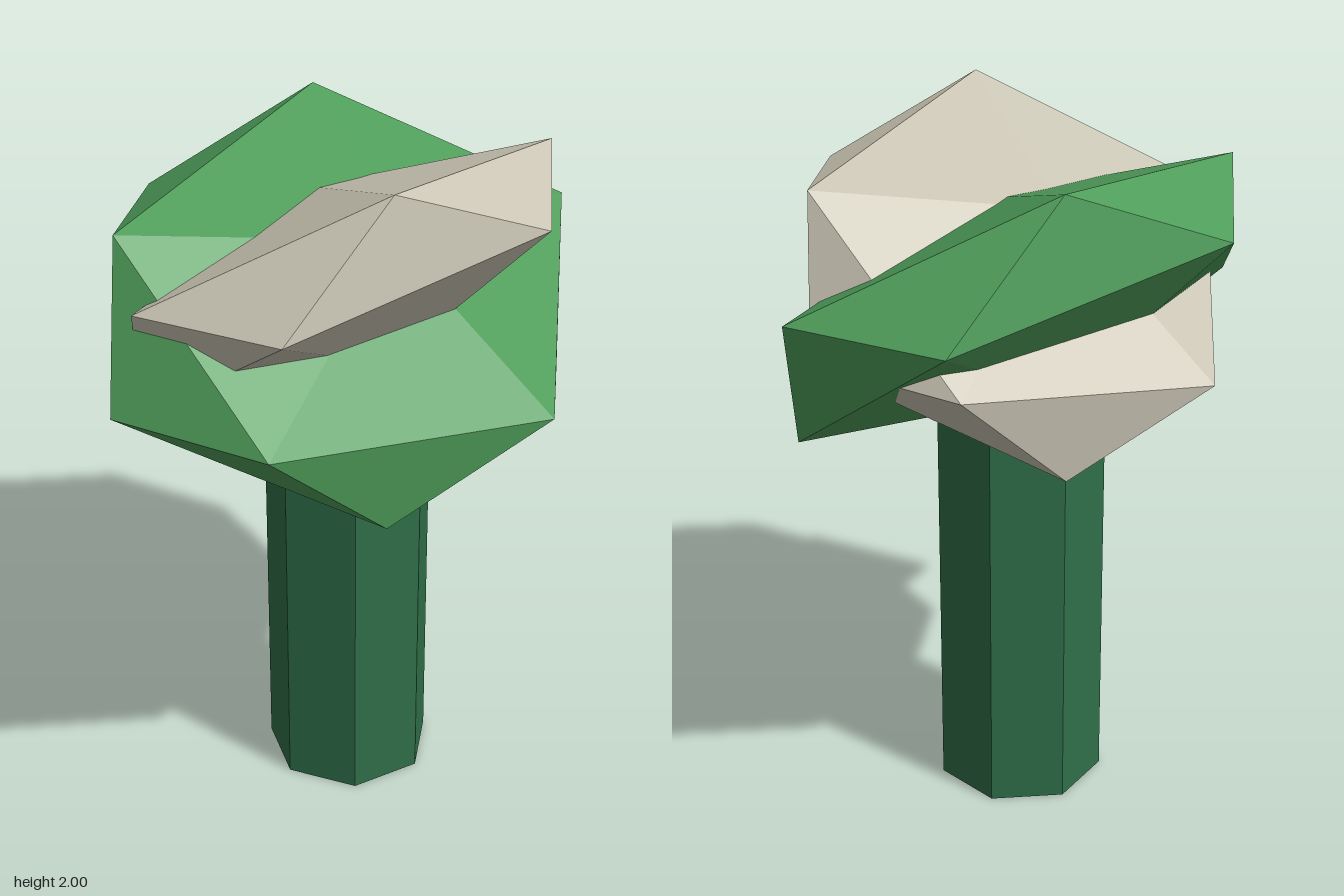
import * as THREE from 'three';

const flat = (name, color) => {
  const m = new THREE.MeshStandardMaterial({ color, flatShading: true });
  m.name = name;
  return m;
};

// Flattened icosahedron: turned, squashed, then tilted about the depth axis
function lobe(name, material, size, tilt, y) {
  const geometry = new THREE.IcosahedronGeometry(1, 0);
  geometry.rotateY(0.558).scale(...size).rotateZ(tilt);
  geometry.computeVertexNormals();
  const mesh = new THREE.Mesh(geometry, material);
  mesh.name = name;
  mesh.position.y = y;
  return mesh;
}

export function createModel() {
  const model = new THREE.Group();
  model.name = 'plant';

  // Seven-sided stem, its top buried in the lobes
  const height = 1.35;
  const stem = new THREE.Mesh(
    new THREE.CylinderGeometry(0.24, 0.24, height, 7),
    flat('stem green', 0x2f6e48)
  );
  stem.name = 'stem';
  stem.position.y = height / 2;

  // Two crossed lobes
  model.add(
    stem,
    lobe('greenLobe', flat('leaf green', 0x4f9d5a), [0.29, 0.688, 0.852], 0.953, 1.495),
    lobe('paleLobe', flat('pale stone', 0xcac5b4), [0.26, 0.672, 0.763], -0.937, 1.57)
  );
  return model;
}
